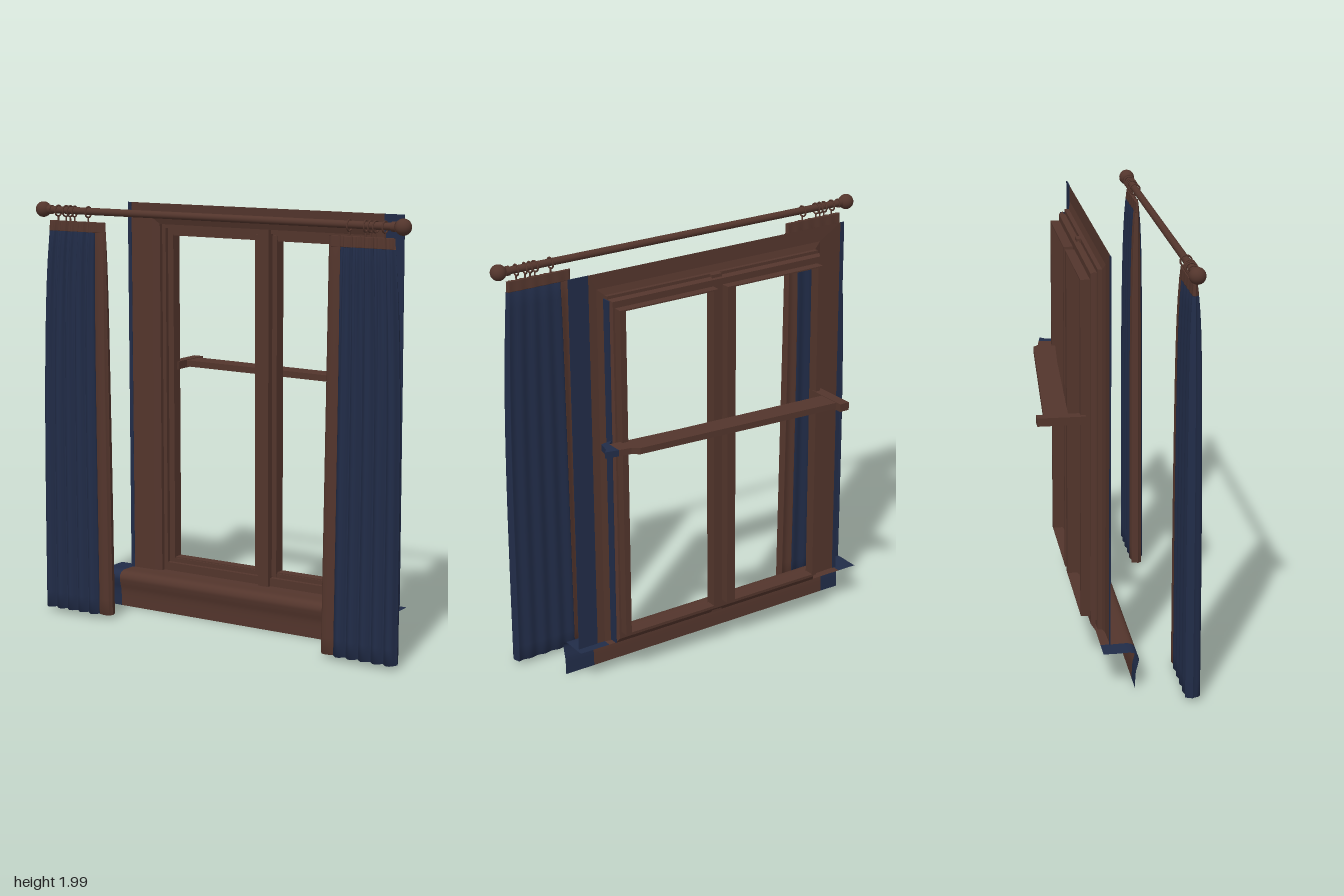
import * as THREE from 'three';

const paint = (color) => new THREE.MeshStandardMaterial({ color, side: THREE.DoubleSide });
const wood = paint(0x53352c);
const blue = paint(0x212c48);

export function createModel() {
  const model = new THREE.Group();

  const add = (name, geometry, material, parent = model) => {
    const mesh = new THREE.Mesh(geometry, material);
    mesh.name = name;
    parent.add(mesh);
    return mesh;
  };
  // box given by its limits on each axis
  const box = (name, x0, x1, y0, y1, z0, z1, material = wood, parent = model) =>
    add(name, new THREE.BoxGeometry(x1 - x0, y1 - y0, z1 - z0), material, parent)
      .position.set((x0 + x1) / 2, (y0 + y1) / 2, (z0 + z1) / 2);
  const group = (name) => {
    const g = new THREE.Group();
    g.name = name;
    model.add(g);
    return g;
  };

  // surface through equal-length loops of [x, y, z] points
  const loft = (loops, flat) => {
    const n = loops[0].length, index = [];
    for (let i = 0; i < loops.length - 1; i++)
      for (let j = 0; j < n; j++) {
        const a = i * n + j, b = i * n + (j + 1) % n;
        index.push(a, b, a + n, b, b + n, a + n);
      }
    let g = new THREE.BufferGeometry();
    g.setAttribute('position', new THREE.Float32BufferAttribute(loops.flat(2), 3));
    g.setIndex(index);
    if (flat) g = g.toNonIndexed();
    g.computeVertexNormals();
    return g;
  };

  // curtain rod with ball ends
  const rodY = 1.955, rodZ = 0.285;
  const rod = group('curtainRod');
  add('rodBar', new THREE.CylinderGeometry(0.017, 0.017, 1.9, 20), wood, rod).rotation.z = Math.PI / 2;
  for (const s of [-1, 1]) {
    add('rodBall', new THREE.SphereGeometry(0.037, 24, 16), wood, rod).position.x = s * 0.963;
    const collar = add('rodCollar', new THREE.CylinderGeometry(0.022, 0.022, 0.02, 20), wood, rod);
    collar.rotation.z = Math.PI / 2;
    collar.position.x = s * 0.92;
    // rings and the hooks that hold the curtain
    for (const x of [0.7, 0.78, 0.805, 0.83, 0.875]) {
      const ring = add('curtainRing', new THREE.TorusGeometry(0.025, 0.004, 8, 20), wood, rod);
      ring.position.set(s * x, -0.004, 0);
      ring.rotation.y = Math.PI / 2 + 0.15 * Math.sin(x * 90);
      add('curtainHook', new THREE.CylinderGeometry(0.004, 0.004, 0.04, 8), wood, rod)
        .position.set(s * x, -0.045, 0);
    }
  }
  rod.position.set(0, rodY, rodZ);

  // curtain: scalloped front, nearly flat back, gathered towards the top
  const curtainPoint = (u, y, front, s) => {
    const t = THREE.MathUtils.clamp((y - 0.02) / 1.885, 0, 1);
    const inner = 0.578 + 0.022 * t, outer = 0.966 - 0.041 * t ** 4;
    const half = 0.037 * (1 - 0.35 * t ** 3 - 0.4 * t ** 14);
    const v = Math.max(0, (u - 0.18) / 0.82);
    const fold = u < 0.18 ? 0.35 * Math.sin(u / 0.18 * Math.PI) : Math.abs(Math.sin(5 * Math.PI * v));
    const pleat = u < 0.18 ? 0 : 0.3 * t ** 5 * Math.sin(26 * Math.PI * v);
    const edge = Math.min(1, u / 0.03, (1 - u) / 0.03);
    const depth = front ? edge * (0.3 + 0.7 * fold + pleat) : -edge * (0.85 + 0.1 * Math.cos(10 * Math.PI * u));
    return [s * (inner + (outer - inner) * u), y, 0.296 - 0.01 * t + half * depth];
  };
  const curtainPiece = (u0, u1, y0, y1, s) => {
    const loops = [], n = 80, rows = 24;
    const section = (y, squash) => {
      const loop = [];
      for (let i = 0; i <= n; i++) loop.push(curtainPoint(u0 + (u1 - u0) * i / n, y, true, s));
      for (let i = n; i >= 0; i--) loop.push(curtainPoint(u0 + (u1 - u0) * i / n, y, false, s));
      if (squash) for (const p of loop) p[2] = 0.29;
      return loop;
    };
    loops.push(section(y0, true));
    for (let r = 0; r <= rows; r++) loops.push(section(y0 + (y1 - y0) * r / rows, false));
    loops.push(section(y1, true));
    return loft(loops);
  };
  for (const s of [-1, 1]) {
    const curtain = group(s > 0 ? 'leftCurtain' : 'rightCurtain');
    add('curtainCloth', curtainPiece(0.18, 1, 0.02, 1.857, s), blue, curtain);
    add('curtainInnerHem', curtainPiece(0, 0.18, 0.02, 1.857, s), wood, curtain);
    add('curtainTopBand', curtainPiece(0, 1, 1.857, 1.905, s), wood, curtain);
  }

  // window casing and stepped frame, from outside to inside
  const rect = (x0, x1, y0, y1, z) => [[x0, y0, z], [x1, y0, z], [x1, y1, z], [x0, y1, z]];
  add('windowFrame', loft([
    rect(-0.68, 0.7, 0.17, 1.98, -0.037),
    rect(-0.56, 0.66, 0.172, 1.91, -0.04),
    rect(-0.525, 0.625, 0.175, 1.88, -0.05),
    rect(-0.525, 0.625, 0.175, 1.88, -0.07),
    rect(-0.505, 0.605, 0.215, 1.86, -0.07),
    rect(-0.505, 0.605, 0.215, 1.86, -0.09),
    rect(-0.475, 0.575, 0.235, 1.83, -0.09),
    rect(-0.475, 0.575, 0.235, 1.83, -0.1),
    rect(-0.515, 0.615, 0.2, 1.86, -0.1),
    rect(-0.527, 0.627, 0.173, 1.87, -0.08),
  ], true), wood);
  box('casingEdge', 0.7, 0.8, 0.17, 1.98, -0.04, -0.035, blue);
  box('casingEdge', -0.7, -0.68, 0.17, 1.98, -0.04, -0.035, blue);
  box('jambSide', 0.627, 0.632, 0.18, 1.865, -0.092, -0.042, blue);

  // centre post and its front bead
  box('centrePost', -0.01, 0.11, 0.22, 1.85, -0.1, -0.085);
  box('centreBead', 0.03, 0.085, 0.175, 1.88, -0.09, -0.05);

  // sash linings standing out behind each opening
  for (const [x0, x1, a, b] of [[-0.5, 0.035, -0.475, -0.01], [0.085, 0.605, 0.11, 0.575]]) {
    const sash = group('sash');
    box('sashStile', x0, a, 0.235, 1.83, -0.143, -0.095, wood, sash);
    box('sashStile', b, x1, 0.235, 1.83, -0.143, -0.095, wood, sash);
    box('sashTop', a, b, 1.824, 1.83, -0.143, -0.095, wood, sash);
    box('sashBottom', a, b, 0.235, 0.241, -0.143, -0.095, wood, sash);
  }

  // sill board bending down into the apron, as an open sheet
  const sillCurve = new THREE.CatmullRomCurve3([
    [0.175, -0.08], [0.175, -0.02], [0.175, 0.05], [0.165, 0.07], [0.145, 0.08],
    [0.12, 0.077], [0.08, 0.067], [0, 0.063],
  ].map(([y, z]) => new THREE.Vector3(0, y, z)), false, 'centripetal');
  const sillPiece = (name, x0, x1, material) => {
    const g = new THREE.PlaneGeometry(1, 1, 1, 32), p = g.attributes.position;
    for (let i = 0; i < p.count; i++) {
      const c = sillCurve.getPoint(0.5 - p.getY(i));
      p.setXYZ(i, p.getX(i) < 0 ? x0 : x1, c.y, c.z);
    }
    g.computeVertexNormals();
    add(name, g, material);
  };
  sillPiece('sill', -0.69, 0.66, wood);
  sillPiece('sillEnd', -0.79, -0.69, blue);
  sillPiece('sillEnd', 0.66, 0.815, blue);

  // slanting rail behind the window, outlined from above as [x, z]
  const plate = (name, outline, y0, y1, material) => {
    const shape = new THREE.Shape(outline.map(([x, z]) => new THREE.Vector2(x, -z)));
    const g = new THREE.ExtrudeGeometry(shape, { depth: y1 - y0, bevelEnabled: false });
    add(name, g.rotateX(-Math.PI / 2).translate(0, y0, 0), material);
  };
  plate('rail', [[-0.48, -0.305], [0.57, -0.235], [0.6, -0.21], [0.66, -0.2], [0.66, -0.12], [0.3, -0.15], [-0.48, -0.195]],
    1.177, 1.207, wood);
  plate('railTip', [[0.66, -0.2], [0.725, -0.187], [0.705, -0.165], [0.69, -0.1], [0.63, -0.09], [0.66, -0.12]],
    1.177, 1.207, blue);
  box('railBracket', -0.52, -0.47, 1.172, 1.21, -0.338, -0.12);

  return model;
}
